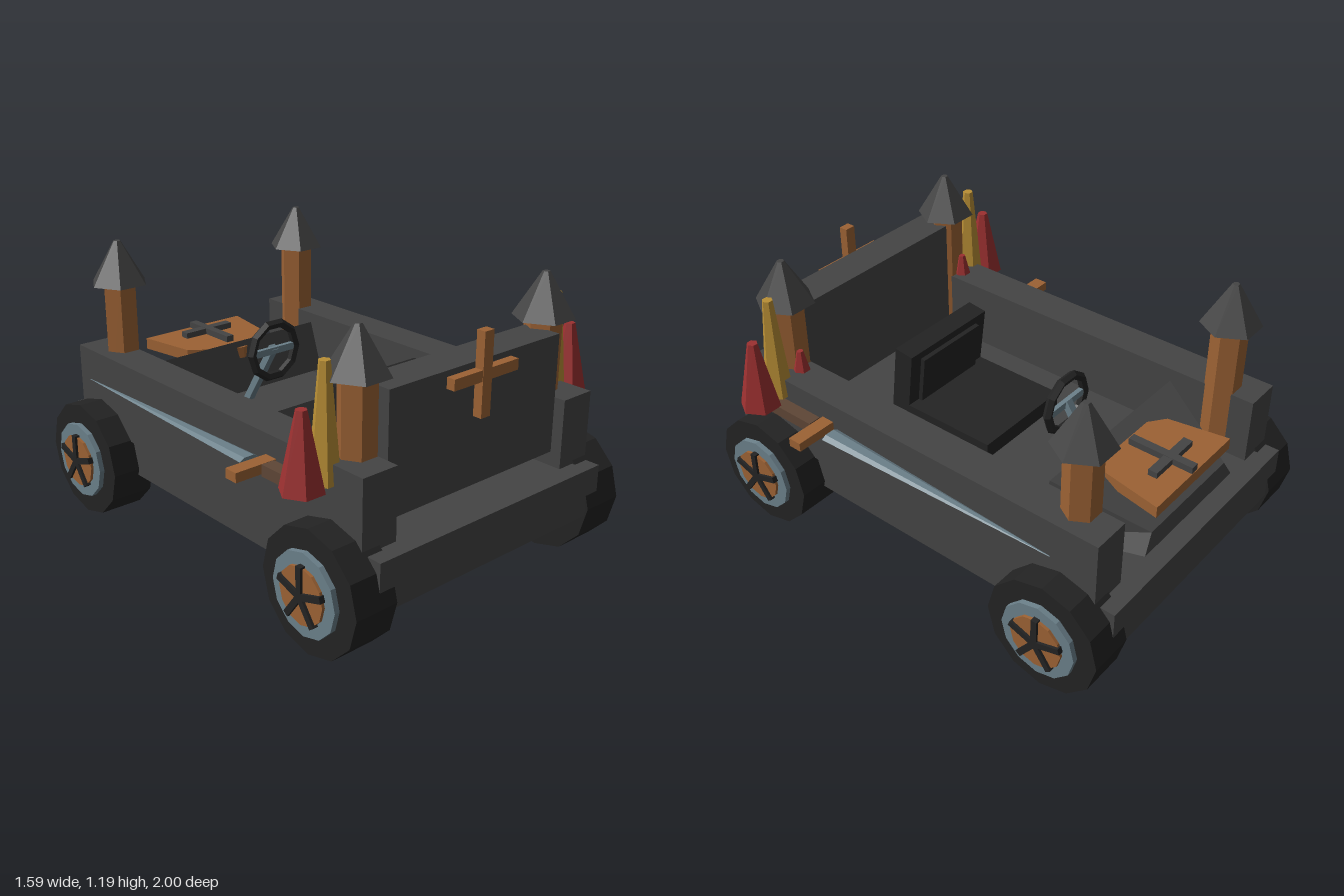
import * as THREE from 'three';

const paint = (name, color) => {
  const m = new THREE.MeshStandardMaterial({ color });
  m.name = name;
  m.flatShading = true;
  return m;
};

export function createModel() {
  const mats = {
    grey: paint('charcoal', 0x444444),
    black: paint('black', 0x232323),
    wood: paint('orange wood', 0x9c6234),
    brown: paint('dark brown', 0x5e4636),
    steel: paint('blue steel', 0x6b808a),
    gold: paint('gold', 0xb98f35),
    red: paint('red', 0x9c3030),
  };
  const model = new THREE.Group();
  model.name = 'castleKart';

  const add = (name, geo, mat, x = 0, y = 0, z = 0, parent = model) => {
    const mesh = new THREE.Mesh(geo, mats[mat]);
    mesh.name = name;
    mesh.position.set(x, y, z);
    parent.add(mesh);
    return mesh;
  };
  // box given by its limits on each axis
  const block = (name, mat, [x0, x1], [y0, y1], [z0, z1], parent) =>
    add(name, new THREE.BoxGeometry(x1 - x0, y1 - y0, z1 - z0), mat,
      (x0 + x1) / 2, (y0 + y1) / 2, (z0 + z1) / 2, parent);
  // six-sided post or spire with corners towards the sides
  const spire = (name, mat, rTop, rBottom, y0, y1, x, z, parent) =>
    add(name, new THREE.CylinderGeometry(rTop, rBottom, y1 - y0, 6).rotateY(Math.PI / 2),
      mat, x, (y0 + y1) / 2, z, parent);

  // chassis and tall end panel
  block('chassis', 'grey', [-0.6, 0.6], [0.22, 0.42], [-0.985, 0.985]);
  block('tallPanel', 'grey', [-0.45, 0.45], [0.48, 0.97], [0.7, 0.858]);
  block('panelCrossUpright', 'wood', [-0.024, 0.024], [0.76, 1.09], [0.858, 0.897]);
  block('panelCrossBar', 'wood', [-0.17, 0.17], [0.902, 0.946], [0.858, 0.895]);

  // hood: a box tapered towards the end, its top sloping up to the dash
  const hood = new THREE.BoxGeometry(2, 2, 2);
  const hp = hood.attributes.position;
  for (let i = 0; i < hp.count; i++) {
    const top = hp.getY(i) > 0, dash = hp.getZ(i) > 0;
    const half = dash ? (top ? 0.41 : 0.45) : (top ? 0.26 : 0.31);
    const y = top ? (dash ? 0.685 : 0.53) : 0.45;
    const z = dash ? (top ? -0.545 : -0.52) : (top ? -0.908 : -0.918);
    hp.setXYZ(i, hp.getX(i) * half, y, z);
  }
  hood.computeVertexNormals();
  add('hood', hood, 'grey');

  // shield plate lying on the hood, with a cross
  const outline = [[-0.26, 0.92], [0.26, 0.92], [0.215, 0.66], [0.1, 0.575],
    [0, 0.528], [-0.1, 0.575], [-0.215, 0.66]];
  const shield = new THREE.ExtrudeGeometry(
    new THREE.Shape(outline.map(([x, z]) => new THREE.Vector2(x, z))),
    { depth: 0.05, bevelEnabled: false }).rotateX(-Math.PI / 2);
  add('shield', shield, 'wood', 0, 0.608, 0);
  block('shieldCrossUpright', 'grey', [-0.018, 0.018], [0.65, 0.686], [-0.918, -0.63]);
  block('shieldCrossBar', 'grey', [-0.125, 0.125], [0.65, 0.684], [-0.83, -0.79]);

  // seat
  block('seatCushion', 'black', [-0.235, 0.235], [0.45, 0.52], [-0.1, 0.38]);
  const backrest = new THREE.Group();
  backrest.name = 'backrest';
  backrest.position.set(0, 0.615, 0.366);
  backrest.rotation.x = -0.12;
  model.add(backrest);
  block('backrestFrame', 'black', [-0.235, 0.235], [-0.165, 0.165], [-0.045, 0.045], backrest);
  block('backrestPad', 'black', [-0.175, 0.175], [-0.12, 0.13], [-0.065, -0.04], backrest);

  // steering wheel and column
  add('steeringWheel', new THREE.TorusGeometry(0.122, 0.02, 5, 10), 'black', 0, 0.7, -0.315);
  block('steeringSpoke', 'steel', [-0.12, 0.12], [0.685, 0.715], [-0.325, -0.305]);
  const column = add('steeringColumn', new THREE.BoxGeometry(0.032, 0.35, 0.032), 'steel', 0, 0.565, -0.41);
  column.rotation.x = Math.atan2(0.19, 0.3);

  for (const s of [-1, 1]) {
    const side = new THREE.Group();
    side.name = s > 0 ? 'leftSide' : 'rightSide';
    model.add(side);
    const at = (a, b) => (s > 0 ? [a, b] : [-b, -a]);

    // side wall
    block('sideWall', 'grey', at(0.45, 0.612), [0.37, 0.71], [-0.907, 0.907], side);

    // corner towers
    for (const z of [-0.745, 0.745]) {
      spire('tower', 'wood', 0.075, 0.075, 0.48, 1.005, s * 0.49, z, side);
      spire('towerRoof', 'grey', 0.015, 0.125, 1.003, 1.186, s * 0.49, z, side);
    }

    // coloured spires and their brackets
    spire('redSpire', 'red', 0.022, 0.086, 0.625, 0.924, s * 0.71, 0.71, side);
    spire('goldSpire', 'gold', 0.022, 0.062, 0.63, 1.075, s * 0.608, 0.71, side);
    spire('smallRedSpire', 'red', 0.015, 0.04, 0.7, 0.8, s * 0.51, 0.67, side);
    block('bracketArm', 'brown', at(0.625, 0.682), [0.58, 0.627], [0.455, 0.71], side);
    block('bracketBar', 'wood', at(0.6, 0.795), [0.587, 0.626], [0.392, 0.452], side);

    // flat tapering lance along the wall
    const lance = new THREE.CylinderGeometry(0.002, 0.043, 1.1, 6)
      .rotateY(Math.PI / 2).rotateX(-Math.PI / 2).scale(1, 0.34, 1);
    add('lance', lance, 'steel', s * 0.664, 0.609, -0.19, side);

    // wheels
    for (const z of [-0.75, 0.75]) {
      const wheel = new THREE.Group();
      wheel.name = 'wheel';
      wheel.position.set(s * 0.53, 0.25, z);
      wheel.scale.x = 1;
      side.add(wheel);
      const disc = (name, mat, r, x0, x1) => add(name,
        new THREE.CylinderGeometry(r, r, x1 - x0, 12).rotateZ(Math.PI / 2),
        mat, s * (x0 + x1) / 2, 0, 0, wheel);
      disc('tyre', 'black', 0.25, 0, 0.19);
      disc('rim', 'steel', 0.166, 0.15, 0.212);
      disc('hubDisc', 'wood', 0.115, 0.18, 0.224);
      for (let i = 0; i < 5; i++) {
        const spoke = new THREE.BoxGeometry(0.03, 0.122, 0.026)
          .translate(0, 0.058, 0).rotateX(i * Math.PI * 0.4);
        add('spoke', spoke, 'black', s * 0.22, 0, 0, wheel);
      }
    }
  }
  return model;
}
